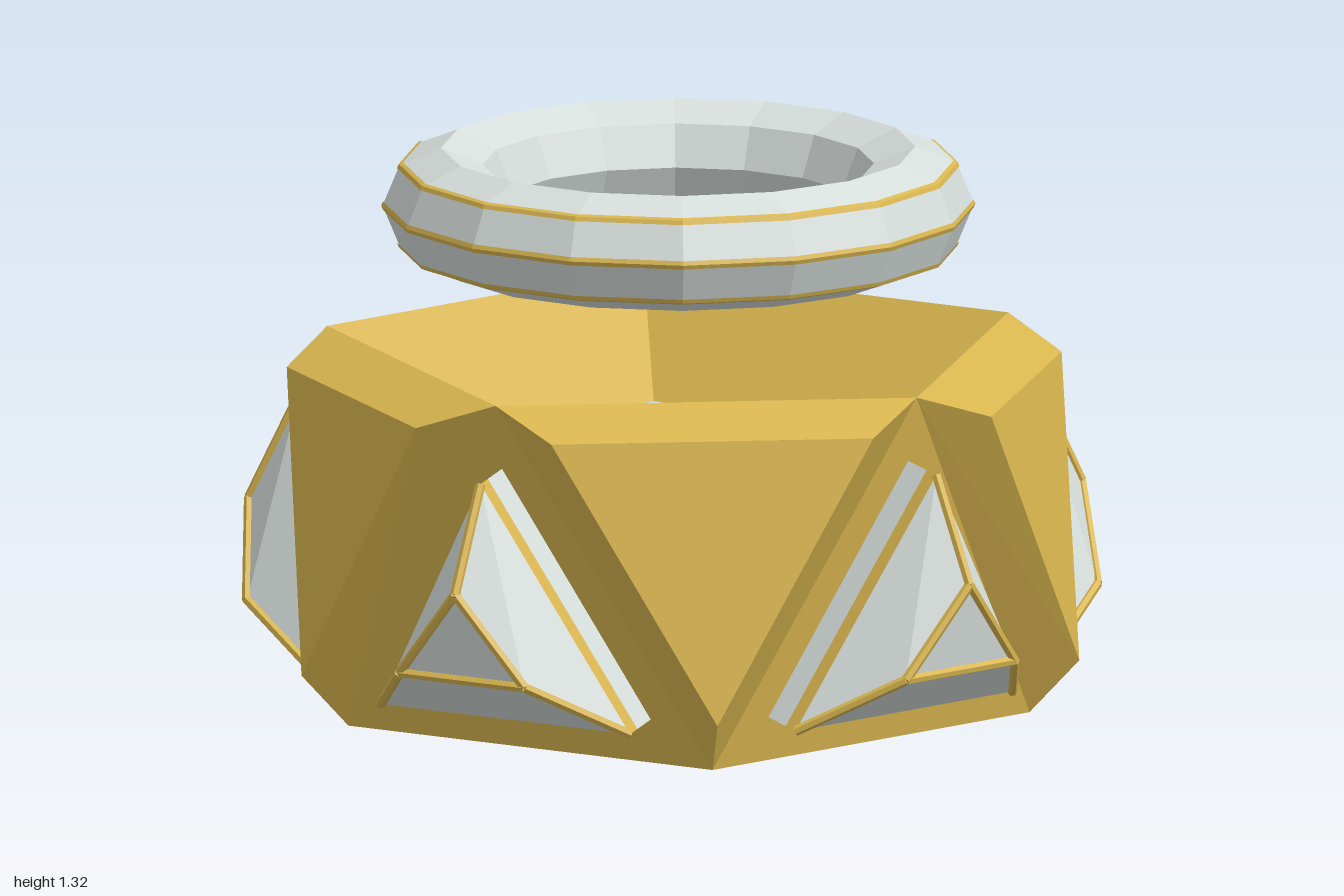
import * as THREE from 'three';

const gold = new THREE.MeshStandardMaterial({ color: 0xd9b64f, flatShading: true });
const pale = new THREE.MeshStandardMaterial({ color: 0xd6dedb, flatShading: true });
const STEP = Math.PI * 2 / 5;
const R = 0.845, H = 0.85;

// Point from angle around the axis, radius, height and sideways shift
function at(angle, r, y, t = 0) {
  const c = Math.cos(angle), s = Math.sin(angle);
  return new THREE.Vector3(r * c - t * s, y, r * s + t * c);
}

// Collects convex polygons, each turned away from (or toward) a reference point
class Faces {
  constructor() { this.points = []; }
  add(corners, ref, toward = false) {
    for (let i = 1; i + 1 < corners.length; i++) {
      const [a, b, c] = [corners[0], corners[i], corners[i + 1]];
      const n = b.clone().sub(a).cross(c.clone().sub(a));
      const out = a.clone().add(b).add(c).divideScalar(3).sub(ref);
      const keep = (n.dot(out) > 0) !== toward;
      this.points.push(...(keep ? [a, b, c] : [a, c, b]));
    }
  }
  mesh(name, material) {
    const geo = new THREE.BufferGeometry().setFromPoints(this.points);
    geo.computeVertexNormals();
    const m = new THREE.Mesh(geo, material);
    m.name = name;
    return m;
  }
}

// Slim trim bar between two points
function bar(a, b) {
  const d = b.clone().sub(a);
  const m = new THREE.Mesh(new THREE.CylinderGeometry(0.012, 0.012, d.length(), 6), gold);
  m.position.copy(a).addScaledVector(d, 0.5);
  m.quaternion.setFromUnitVectors(new THREE.Vector3(0, 1, 0), d.normalize());
  m.name = 'gemRidge';
  return m;
}

// Five-sided body: flat upright triangles alternate with raised panels
function makeBody() {
  const shell = new Faces(), floor = new Faces();
  const mid = new THREE.Vector3(0, 0.42, 0), above = new THREE.Vector3(0, 2, 0);
  const underside = new THREE.Vector3(0, 0.32, 0), floorPeak = new THREE.Vector3(0, 0.63, 0);
  for (let k = 0; k < 5; k++) {
    const a = k * STEP, h = STEP / 2, b = a + h;
    const top = at(a, R, H), next = at(a + STEP, R, H);
    const low = at(b, R, 0), prev = at(a - h, R, 0);
    // upright triangle that carries a gem
    shell.add([top, low, prev], mid);
    // raised panel, pointing down
    const base = [top, next, low];
    const raised = [at(b - 0.426, 0.92, 0.787), at(b + 0.426, 0.92, 0.787), at(b, 0.965, 0.13)];
    const core = at(b, 0.74, 0.55);
    shell.add(raised, core);
    for (let i = 0; i < 3; i++) {
      const j = (i + 1) % 3;
      shell.add([base[i], base[j], raised[j], raised[i]], core);
    }
    // hollow underside
    shell.add([prev, low, underside], mid);
    // basin wall and floor
    const f0 = at(a, 0.607, 0.58), f1 = at(a + STEP, 0.607, 0.58);
    shell.add([top, next, f1, f0], above, true);
    floor.add([f0, f1, floorPeak], above, true);
  }
  const g = new THREE.Group();
  g.name = 'body';
  g.add(shell.mesh('shell', gold), floor.mesh('basinFloor', pale));
  return g;
}

// Faceted triangular gem with a trimmed side wall
function makeGem(a) {
  const facets = new Faces(), trim = new Faces();
  const ref = at(a, 0.82, 0.3);
  const outline = depth => [[0.915, 0.675, 0], [0.8, 0.09, 0.34], [0.8, 0.09, -0.34]]
    .map(([r, y, t]) => at(a, r - 0.983 * depth, y + 0.186 * depth, t));
  const [rim, band, foot] = [0, 0.035, 0.11].map(outline);
  const [A, B, D] = rim;
  const P = at(a, 1.033, 0.43), C = at(a, 1.0, 0.22, 0.17), E = at(a, 1.0, 0.22, -0.17);
  facets.add([P, C, E], ref);
  facets.add([C, B, D, E], ref);
  facets.add([A, P, C, B], ref);
  facets.add([A, P, E, D], ref);
  for (let i = 0; i < 3; i++) {
    const j = (i + 1) % 3;
    trim.add([rim[i], rim[j], band[j], band[i]], ref);
    facets.add([band[i], band[j], foot[j], foot[i]], ref);
  }
  const g = new THREE.Group();
  g.name = 'gem';
  g.add(facets.mesh('gemFacets', pale), trim.mesh('gemTrim', gold));
  for (const [p, q] of [[A, P], [P, C], [P, E], [C, B], [E, D], [C, E]]) g.add(bar(p, q));
  return g;
}

// Floating ring with three trim bands on its outer corners
function makeRing() {
  const major = 0.557, tube = 0.138;
  const g = new THREE.Group();
  g.name = 'ring';
  g.position.y = 1.18;
  const ring = new THREE.Mesh(new THREE.TorusGeometry(major, tube, 8, 16), pale);
  ring.name = 'ringBody';
  ring.rotation.x = Math.PI / 2;
  g.add(ring);
  const corner = i => new THREE.Vector2(Math.cos(i * Math.PI / 4), Math.sin(i * Math.PI / 4))
    .multiplyScalar(tube + 0.003).add(new THREE.Vector2(major, 0));
  for (const i of [-1, 0, 1]) {
    const c = corner(i);
    const profile = [c.clone().lerp(corner(i - 1), 0.1), c, c.clone().lerp(corner(i + 1), 0.1)];
    const m = new THREE.Mesh(new THREE.LatheGeometry(profile, 16), gold);
    m.name = 'ringBand';
    g.add(m);
  }
  return g;
}

export function createModel() {
  const model = new THREE.Group();
  model.name = 'gemVessel';
  const content = new THREE.Group();
  content.name = 'vessel';
  content.position.x = -0.035;
  content.add(makeBody(), makeRing());
  for (let k = 0; k < 5; k++) content.add(makeGem(k * STEP));
  model.add(content);
  return model;
}
